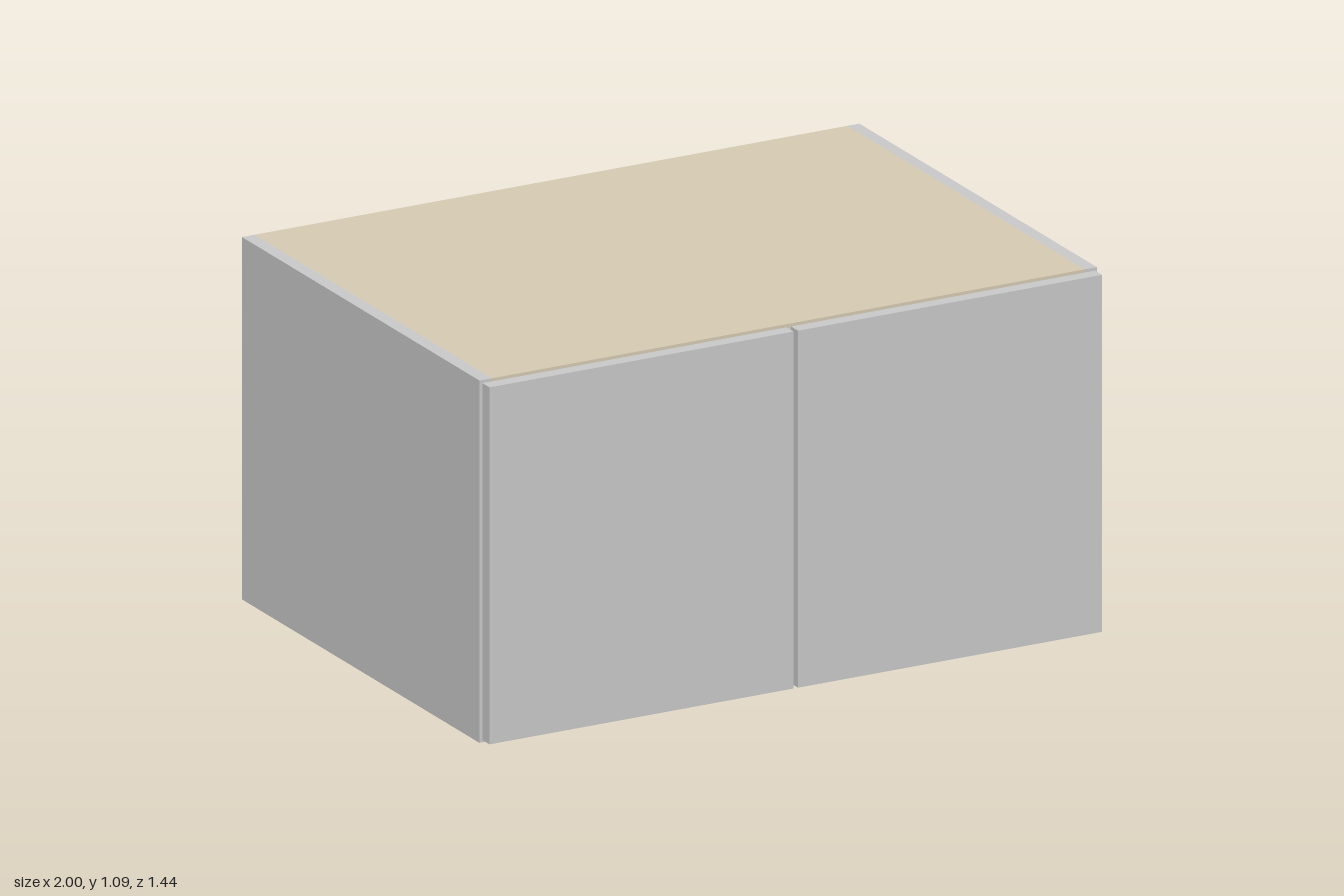
import * as THREE from 'three';

export function createModel() {
  const model = new THREE.Group();
  const grey = new THREE.MeshStandardMaterial({ color: 0xcccccc });
  const wood = new THREE.MeshStandardMaterial({ color: 0xd8cdb5 });

  // Overall sizes
  const W = 2, H = 1.09, back = -0.72, front = 0.675, T = 0.04;
  const inner = W / 2 - T;

  // Board given by its min and max corners
  function board(name, material, [x0, y0, z0], [x1, y1, z1]) {
    const mesh = new THREE.Mesh(new THREE.BoxGeometry(x1 - x0, y1 - y0, z1 - z0), material);
    mesh.position.set((x0 + x1) / 2, (y0 + y1) / 2, (z0 + z1) / 2);
    mesh.name = name;
    model.add(mesh);
  }

  // Carcass: bottom, top, back and one middle shelf
  board('bottomPanel', wood, [-inner, 0, back], [inner, T, front]);
  board('topPanel', wood, [-inner, H - T, back], [inner, H, front]);
  board('backPanel', wood, [-inner, T, back], [inner, H - T, back + 0.02]);
  board('shelf', wood, [-inner, 0.53, back + 0.02], [inner, 0.57, front - 0.03]);

  // Side panels and doors, mirrored
  for (const [side, s] of [['left', 1], ['right', -1]]) {
    const span = (a, b) => (s > 0 ? [a, b] : [-b, -a]);
    const [p0, p1] = span(inner, W / 2);
    board(side + 'SidePanel', grey, [p0, 0, back], [p1, H, front]);
    const [d0, d1] = span(0.007, 0.992);
    board(side + 'Door', grey, [d0, 0.008, 0.679], [d1, H - 0.008, 0.72]);
  }
  return model;
}
